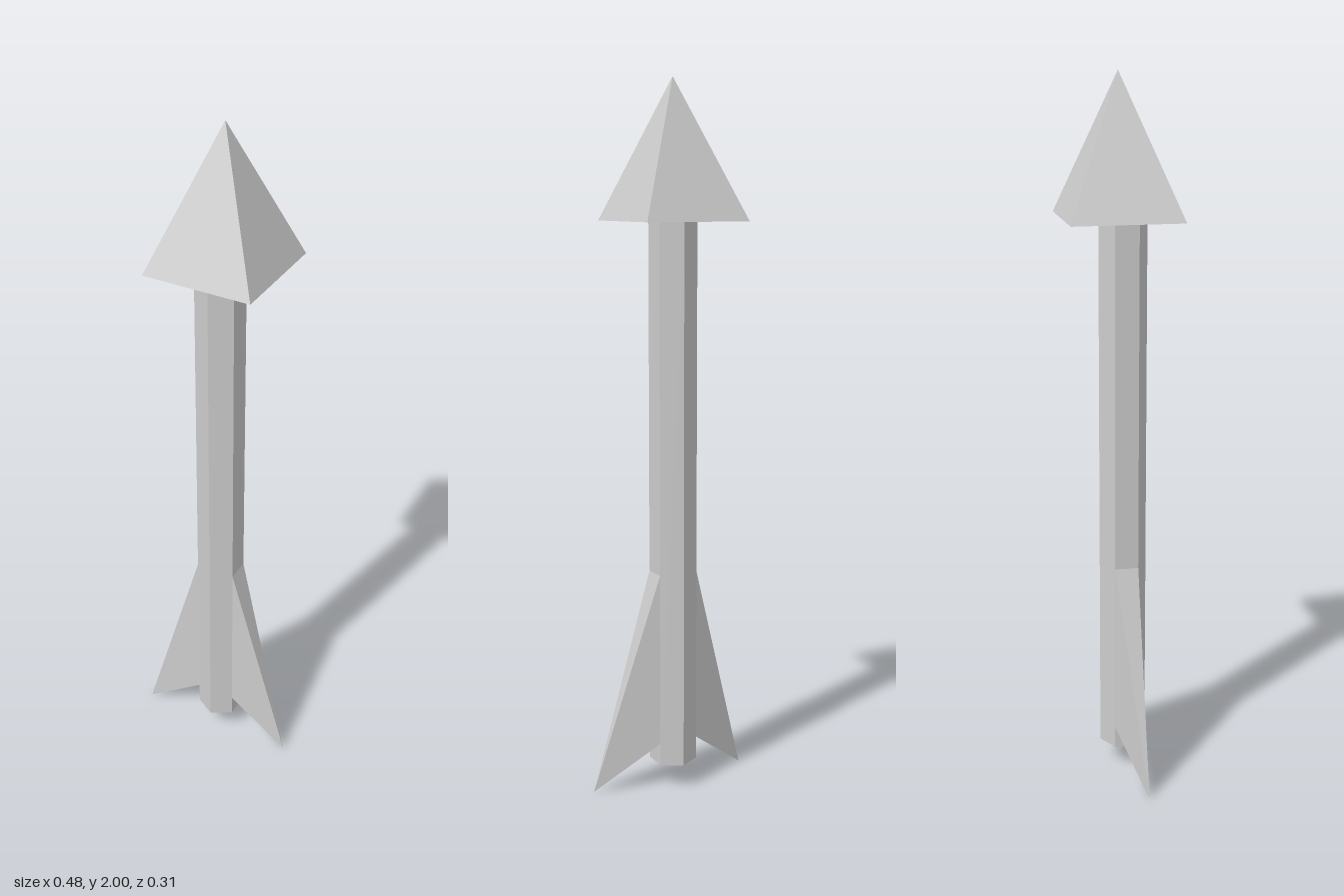
import * as THREE from 'three';

export function createModel() {
  const group = new THREE.Group();
  group.name = 'arrow';
  const grey = new THREE.MeshStandardMaterial({ color: 0xcccccc, flatShading: true });
  grey.name = 'light grey';

  const add = (name, geometry, x, y, z) => {
    const mesh = new THREE.Mesh(geometry, grey);
    mesh.name = name;
    mesh.position.set(x, y, z);
    group.add(mesh);
  };

  // Hexagonal shaft with corners pointing front and back
  const radius = 0.067, shaftZ = 0.0125, bottom = 0.07, top = 1.62;
  add('shaft', new THREE.CylinderGeometry(radius, radius, top - bottom, 6), 0, (top + bottom) / 2, shaftZ);

  // Four-sided pyramid head
  const head = new THREE.ConeGeometry(0.1525 * Math.SQRT2, 2 - top, 4);
  head.rotateY(Math.PI / 4);
  add('head', head, 0.007, (2 + top) / 2, 0);

  // Each fin draws one side face of the shaft out to a low tip
  const finGeometry = (side) => {
    const x = side * radius * Math.cos(Math.PI / 6);
    const front = shaftZ + radius / 2, back = shaftZ - radius / 2;
    const corners = [
      [x, 0.635, front], [x, 0.635, back], [x, 0.135, back], [x, 0.135, front],
    ];
    const tip = [side * 0.24, 0, 0.043];
    const points = [];
    corners.forEach((corner, i) => {
      const next = corners[(i + 1) % 4];
      points.push(...(side > 0 ? [next, corner, tip] : [corner, next, tip]).flat());
    });
    const geometry = new THREE.BufferGeometry();
    geometry.setAttribute('position', new THREE.Float32BufferAttribute(points, 3));
    geometry.computeVertexNormals();
    return geometry;
  };
  add('leftFin', finGeometry(1), 0, 0, 0);
  add('rightFin', finGeometry(-1), 0, 0, 0);

  return group;
}
